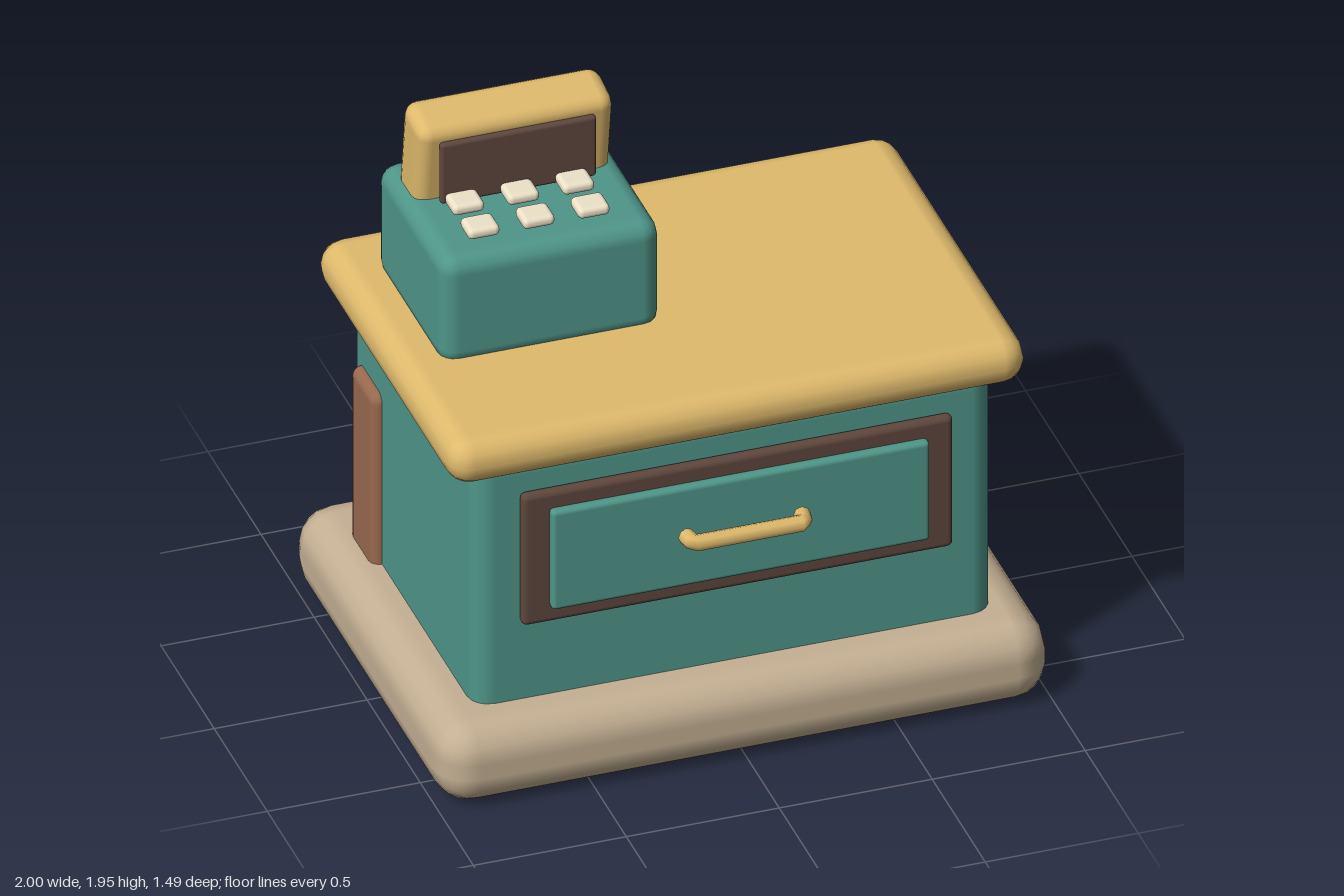
import * as THREE from 'three';
import { RoundedBoxGeometry } from 'three/addons/geometries/RoundedBoxGeometry.js';

const paint = (color) => new THREE.MeshStandardMaterial({ color });

export function createModel() {
  const model = new THREE.Group();
  const stone = paint(0xc4b093), teal = paint(0x4f9689), gold = paint(0xdfba6c);
  const wood = paint(0x98694e), dark = paint(0x5e473d), cream = paint(0xeee2c8);

  // Rounded block given by its extents on each axis
  function block(name, material, [x0, x1], [y0, y1], [z0, z1], radius, parent = model) {
    const geometry = new RoundedBoxGeometry(x1 - x0, y1 - y0, z1 - z0, 2, radius);
    const mesh = new THREE.Mesh(geometry, material);
    mesh.position.set((x0 + x1) / 2, (y0 + y1) / 2, (z0 + z1) / 2);
    mesh.name = name;
    parent.add(mesh);
    return mesh;
  }

  // Counter
  block('base', stone, [-1, 1], [0, 0.29], [-0.745, 0.725], 0.12);
  block('cabinet', teal, [-0.85, 0.85], [0.2, 1.18], [-0.59, 0.575], 0.07);
  block('counterTop', gold, [-0.945, 0.945], [1.13, 1.295], [-0.665, 0.645], 0.08);

  // Upright battens on both sides
  for (const s of [-1, 1]) {
    const xs = s > 0 ? [0.775, 0.883] : [-0.883, -0.775];
    block(s > 0 ? 'leftBatten' : 'rightBatten', wood, xs, [0.2, 0.907], [-0.505, -0.29], 0.035);
  }

  // Drawer with its pull
  const drawer = new THREE.Group();
  drawer.name = 'drawer';
  model.add(drawer);
  block('drawerFrame', dark, [-0.705, 0.705], [0.575, 1.055], [0.573, 0.615], 0.02, drawer);
  block('drawerPanel', teal, [-0.618, 0.618], [0.635, 0.997], [0.605, 0.645], 0.015, drawer);
  const path = new THREE.CurvePath();
  const points = [[-0.19, 0.668], [-0.18, 0.717], [0.18, 0.717], [0.19, 0.668]]
    .map(([x, z]) => new THREE.Vector3(x, 0.838, z));
  for (let i = 0; i < 3; i++) path.add(new THREE.LineCurve3(points[i], points[i + 1]));
  const pull = new THREE.Mesh(new THREE.TubeGeometry(path, 24, 0.027, 8), gold.clone());
  pull.material.side = THREE.DoubleSide;
  pull.name = 'drawerPull';
  drawer.add(pull);

  // Cash register
  const register = new THREE.Group();
  register.name = 'cashRegister';
  model.add(register);
  block('registerBody', teal, [-0.81, -0.09], [1.26, 1.657], [-0.47, 0.16], 0.06, register);
  const housing = block('displayHousing', gold, [-0.77, -0.13], [1.575, 1.945], [-0.368, -0.188], 0.045, register);
  housing.rotation.x = 0.15;
  block('display', dark, [-0.708, -0.198], [1.665, 1.885], [-0.172, -0.145], 0.012, register);

  // Two rows of three keys
  for (const z of [-0.105, 0.04]) {
    for (const x of [-0.645, -0.465, -0.285]) {
      block('key', cream, [x - 0.052, x + 0.052], [1.67, 1.708], [z - 0.047, z + 0.047], 0.017, register);
    }
  }
  return model;
}
